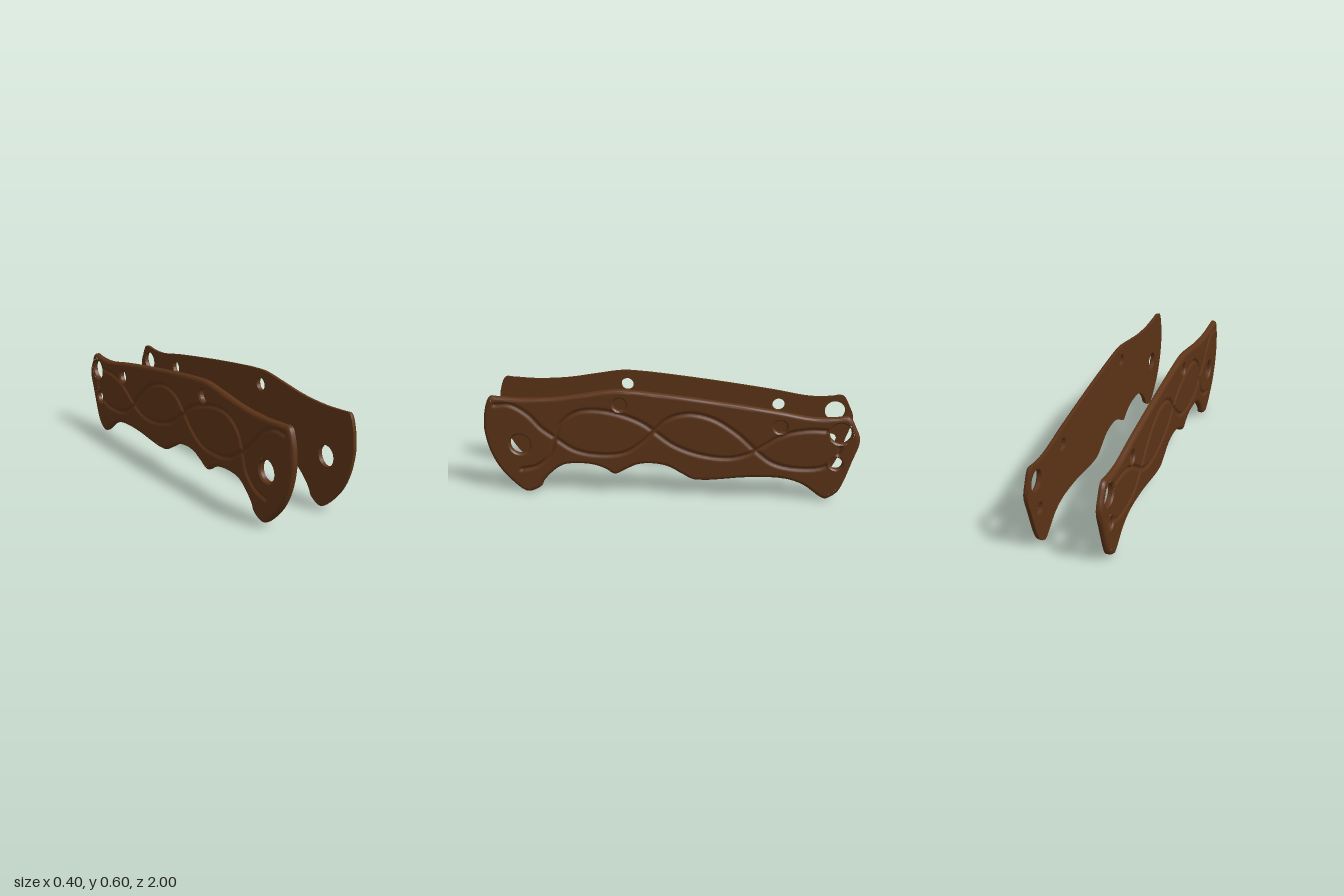
import * as THREE from 'three';
import { mergeGeometries, mergeVertices, toCreasedNormals } from 'three/addons/utils/BufferGeometryUtils.js';

const T = 0.03;      // plate thickness
const GAP = 0.17;    // inner face distance from the centre plane
const R = 0.02;      // round-over of the outer rim
const C = 0.008;     // chamfer of the holes
const GROOVE_W = 0.017, GROOVE_D = 0.011;

// All profiles are written as z, y pairs and turned into u = -z, v = y
const OUTLINE = [
  0.96, 0.543, 0.917, 0.543, 0.78, 0.537, 0.6, 0.548, 0.435, 0.575, 0.29, 0.597, 0.195, 0.594,
  0.09, 0.585, -0.215, 0.55, -0.555, 0.503, -0.757, 0.47, -0.875, 0.473, -0.92, 0.48, -0.945, 0.473,
  -0.975, 0.42, -1, 0.35, -0.965, 0.227, -0.915, 0.083, -0.89, 0.045, -0.837, 0.012, -0.81, 0.02,
  -0.715, 0.088, -0.62, 0.12, -0.445, 0.125, -0.135, 0.1, -0.07, 0.13, 0.01, 0.173, 0.09, 0.187,
  0.17, 0.18, 0.235, 0.15, 0.297, 0.12, 0.345, 0.147, 0.41, 0.17, 0.516, 0.175, 0.58, 0.163,
  0.64, 0.12, 0.687, 0.067, 0.703, 0.035, 0.767, 0.003, 0.8, 0.01, 0.88, 0.08, 0.933, 0.147,
  0.976, 0.237, 1, 0.35, 1, 0.4, 0.987, 0.485,
];
const STRAND_A = [
  0.933, 0.5, 0.85, 0.503, 0.757, 0.45, 0.687, 0.375, 0.617, 0.325, 0.516, 0.258, 0.4, 0.233,
  0.25, 0.245, 0.158, 0.3, 0.083, 0.375, 0.01, 0.445, -0.1, 0.477, -0.233, 0.45, -0.366, 0.365,
  -0.457, 0.28, -0.553, 0.21, -0.687, 0.184, -0.82, 0.2, -0.885, 0.26, -0.9, 0.32,
];
const STRAND_B = [
  0.805, 0.135, 0.72, 0.157, 0.65, 0.217, 0.617, 0.31, 0.575, 0.41, 0.49, 0.473, 0.382, 0.484,
  0.25, 0.46, 0.14, 0.415, 0.077, 0.37, -0.02, 0.3, -0.152, 0.25, -0.313, 0.233, -0.42, 0.26,
  -0.5, 0.31, -0.607, 0.375, -0.74, 0.403, -0.86, 0.4,
];
const HOLES = [ // z, y, radius
  [0.807, 0.28, 0.056], [0.265, 0.517, 0.035], [-0.583, 0.417, 0.035],
  [-0.898, 0.387, 0.057], [-0.88, 0.22, 0.034],
];

function smoothPath(flat, closed) {
  const pts = [];
  for (let i = 0; i < flat.length; i += 2) pts.push(new THREE.Vector3(-flat[i], flat[i + 1], 0));
  const curve = new THREE.CatmullRomCurve3(pts, closed, 'centripetal');
  const out = curve.getPoints(pts.length * 4).map((p) => new THREE.Vector2(p.x, p.y));
  if (closed) out.pop();
  return out;
}

function pathDistance(path, closed, x, y) {
  let best = Infinity;
  for (let i = closed ? 0 : 1; i < path.length; i++) {
    const a = path[(i + path.length - 1) % path.length], b = path[i];
    const ex = b.x - a.x, ey = b.y - a.y;
    const t = Math.min(1, Math.max(0, ((x - a.x) * ex + (y - a.y) * ey) / (ex * ex + ey * ey)));
    best = Math.min(best, (x - a.x - t * ex) ** 2 + (y - a.y - t * ey) ** 2);
  }
  return Math.sqrt(best);
}

function inside(path, x, y) {
  let hit = false;
  for (let i = 0, j = path.length - 1; i < path.length; j = i++) {
    const a = path[i], b = path[j];
    if ((a.y > y) !== (b.y > y) && x < ((b.x - a.x) * (y - a.y)) / (b.y - a.y) + a.x) hit = !hit;
  }
  return hit;
}

function fromTriangles(positions) {
  const g = new THREE.BufferGeometry();
  g.setAttribute('position', new THREE.Float32BufferAttribute(positions, 3));
  return g;
}

// Separate triangles with position and normal only
function plain(g) {
  const n = g.index ? g.toNonIndexed() : g;
  n.deleteAttribute('uv');
  return n;
}

// Reverse the corner order of separate triangles
function reversed(g) {
  const index = [];
  for (let i = 0; i < g.attributes.position.count; i += 3) index.push(i, i + 2, i + 1);
  return g.setIndex(index);
}

// Outer edge: wall with a rounded outer rim, without its lids
function buildRim(outline) {
  const g = new THREE.ExtrudeGeometry(new THREE.Shape(outline), {
    depth: T - R, steps: 1, bevelEnabled: true, bevelThickness: R, bevelSize: R, bevelOffset: -R, bevelSegments: 6,
  });
  const p = g.attributes.position, kept = [];
  for (let i = 0; i < p.count; i += 3) {
    const w = [0, 1, 2].map((k) => p.getZ(i + k));
    if (Math.max(...w) < 1e-5 || Math.min(...w) > T - 1e-5) continue;
    for (let k = 0; k < 3; k++) kept.push(p.getX(i + k), p.getY(i + k), w[k]);
  }
  return toCreasedNormals(fromTriangles(kept), 0.7);
}

// Flat inner face with the holes cut out, turned to look inwards
function buildInnerFace(outline) {
  const shape = new THREE.Shape(outline);
  for (const [z, y, r] of HOLES) shape.holes.push(new THREE.Path().absarc(-z, y, r, 0, Math.PI * 2, true));
  const g = reversed(plain(new THREE.ShapeGeometry(shape, 20)));
  g.computeVertexNormals();
  return g;
}

// Chamfered hole wall, facing the hole's axis
function buildHole([z, y, r]) {
  const profile = [[r + C, T], [r, T - C], [r, 0]].map(([a, b]) => new THREE.Vector2(a, b));
  const g = new THREE.LatheGeometry(profile, 40).rotateX(Math.PI / 2).translate(-z, y, 0);
  return toCreasedNormals(g, 0.5);
}

// Outer face: a fine grid clipped to the outline and holes, sunk along the two strands
function buildCarvedFace(outline) {
  const strands = [smoothPath(STRAND_A, false), smoothPath(STRAND_B, false)];
  const h = 0.007, nu = Math.ceil(2.02 / h), nv = Math.ceil(0.62 / h), nodes = [];
  for (let j = 0; j <= nv; j++) for (let i = 0; i <= nu; i++) {
    const x = -1.01 + i * h, y = -0.01 + j * h;
    let d = pathDistance(outline, true, x, y) * (inside(outline, x, y) ? 1 : -1) - R;
    for (const [z, hy, r] of HOLES) d = Math.min(d, Math.hypot(x + z, y - hy) - r - C);
    const s = Math.min(...strands.map((p) => pathDistance(p, false, x, y)));
    const cut = s < GROOVE_W ? GROOVE_D * 0.5 * (1 + Math.cos((Math.PI * s) / GROOVE_W)) : 0;
    nodes.push({ x, y, d, w: T - cut * THREE.MathUtils.smoothstep(d, 0, 0.01) });
  }
  const out = [];
  const clip = (tri) => {
    const poly = [];
    tri.forEach((a, k) => {
      const b = tri[(k + 1) % 3];
      if (a.d >= 0) poly.push([a.x, a.y, a.w]);
      if ((a.d >= 0) !== (b.d >= 0)) {
        const t = a.d / (a.d - b.d);
        poly.push(['x', 'y', 'w'].map((c) => a[c] + (b[c] - a[c]) * t));
      }
    });
    for (let k = 2; k < poly.length; k++) out.push(...poly[0], ...poly[k - 1], ...poly[k]);
  };
  for (let j = 0; j < nv; j++) for (let i = 0; i < nu; i++) {
    const a = nodes[j * (nu + 1) + i], b = nodes[j * (nu + 1) + i + 1];
    const c = nodes[(j + 1) * (nu + 1) + i + 1], e = nodes[(j + 1) * (nu + 1) + i];
    clip([a, b, c]);
    clip([a, c, e]);
  }
  const g = mergeVertices(fromTriangles(out), 1e-5);
  g.computeVertexNormals();
  return g;
}

export function createModel() {
  const outline = smoothPath(OUTLINE, true);
  const parts = {
    Rim: buildRim(outline),
    InnerFace: buildInnerFace(outline),
    CarvedFace: buildCarvedFace(outline),
    HoleWalls: mergeGeometries(HOLES.map((hole) => plain(buildHole(hole)))),
  };

  const material = new THREE.MeshStandardMaterial({ color: 0x5c3317 });
  const model = new THREE.Group();
  model.name = 'handleScales';
  const left = new THREE.Group(), right = new THREE.Group();
  left.name = 'leftScale';
  right.name = 'rightScale';
  for (const [name, geometry] of Object.entries(parts)) {
    const g = plain(geometry).rotateY(Math.PI / 2).translate(GAP, 0, 0);
    const opposite = reversed(g.clone().scale(-1, 1, 1));
    for (const [group, side, geo] of [[left, 'left', g], [right, 'right', opposite]]) {
      const mesh = new THREE.Mesh(geo, material);
      mesh.name = side + name;
      group.add(mesh);
    }
  }
  model.add(left, right);
  return model;
}
